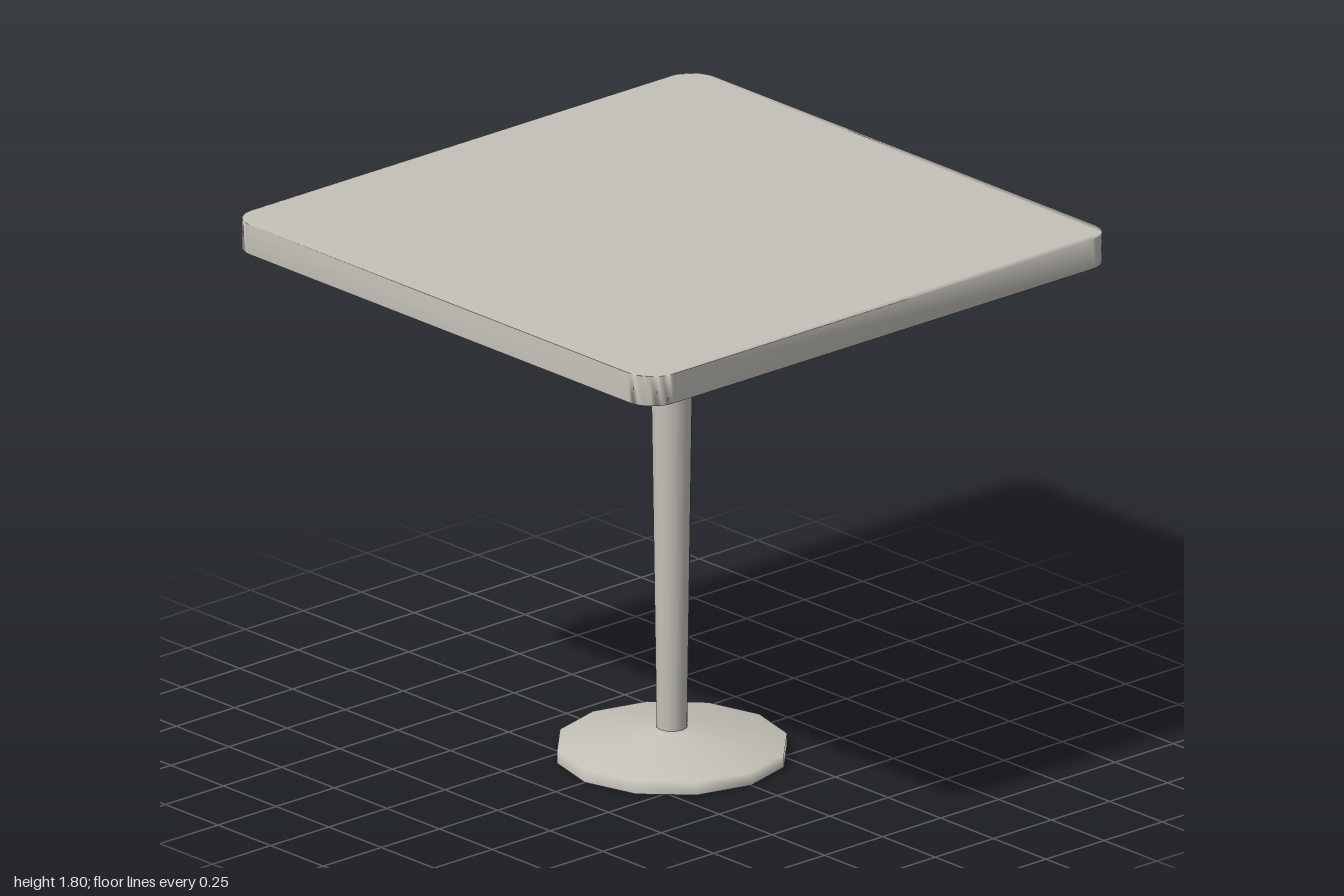
import * as THREE from 'three';
import { mergeVertices } from 'three/addons/utils/BufferGeometryUtils.js';

const SIDES = 12;

// Share normals over the top edge, but keep the underside flat
function softTop(geometry) {
  geometry.deleteAttribute('normal');
  geometry.deleteAttribute('uv');
  const merged = mergeVertices(geometry, 1e-4);
  merged.computeVertexNormals();
  const result = merged.toNonIndexed();
  const pos = result.attributes.position;
  const normal = result.attributes.normal;
  const bottom = 1e-4;
  for (let i = 0; i < pos.count; i += 3) {
    if ([0, 1, 2].every((k) => pos.getY(i + k) < bottom)) {
      for (let k = 0; k < 3; k++) normal.setXYZ(i + k, 0, -1, 0);
    }
  }
  return result;
}

function roundedSquare(h, r) {
  const s = new THREE.Shape();
  s.moveTo(-h + r, -h);
  s.lineTo(h - r, -h);
  s.absarc(h - r, -h + r, r, -Math.PI / 2, 0);
  s.lineTo(h, h - r);
  s.absarc(h - r, h - r, r, 0, Math.PI / 2);
  s.lineTo(-h + r, h);
  s.absarc(-h + r, h - r, r, Math.PI / 2, Math.PI);
  s.lineTo(-h, -h + r);
  s.absarc(-h + r, -h + r, r, Math.PI, Math.PI * 1.5);
  return s;
}

export function createModel() {
  const group = new THREE.Group();
  const stone = new THREE.MeshStandardMaterial({ color: 0xc4c1b9 });
  stone.name = 'warmGrey';

  const add = (name, geometry, y) => {
    const mesh = new THREE.Mesh(geometry, stone);
    mesh.name = name;
    mesh.position.y = y;
    group.add(mesh);
  };

  // Square top with rounded corners
  const slab = new THREE.ExtrudeGeometry(roundedSquare(1, 0.1), {
    depth: 0.1, bevelEnabled: false, curveSegments: 4,
  });
  slab.rotateX(-Math.PI / 2);
  add('tableTop', softTop(slab), 1.705);

  // Tapered column
  add('column', new THREE.CylinderGeometry(0.074, 0.05, 1.61, SIDES, 1, true), 0.9);

  // Twelve-sided foot: flat underside, short rim and shallow cone
  const rim = [[0.375, 0], [0.375, 0.043], [0.05, 0.097]];
  add('footRim', new THREE.LatheGeometry(rim.map(([x, y]) => new THREE.Vector2(x, y)), SIDES), 0);
  const underside = new THREE.CircleGeometry(0.375, SIDES);
  underside.rotateX(Math.PI / 2);
  add('footUnderside', underside, 0);

  return group;
}
